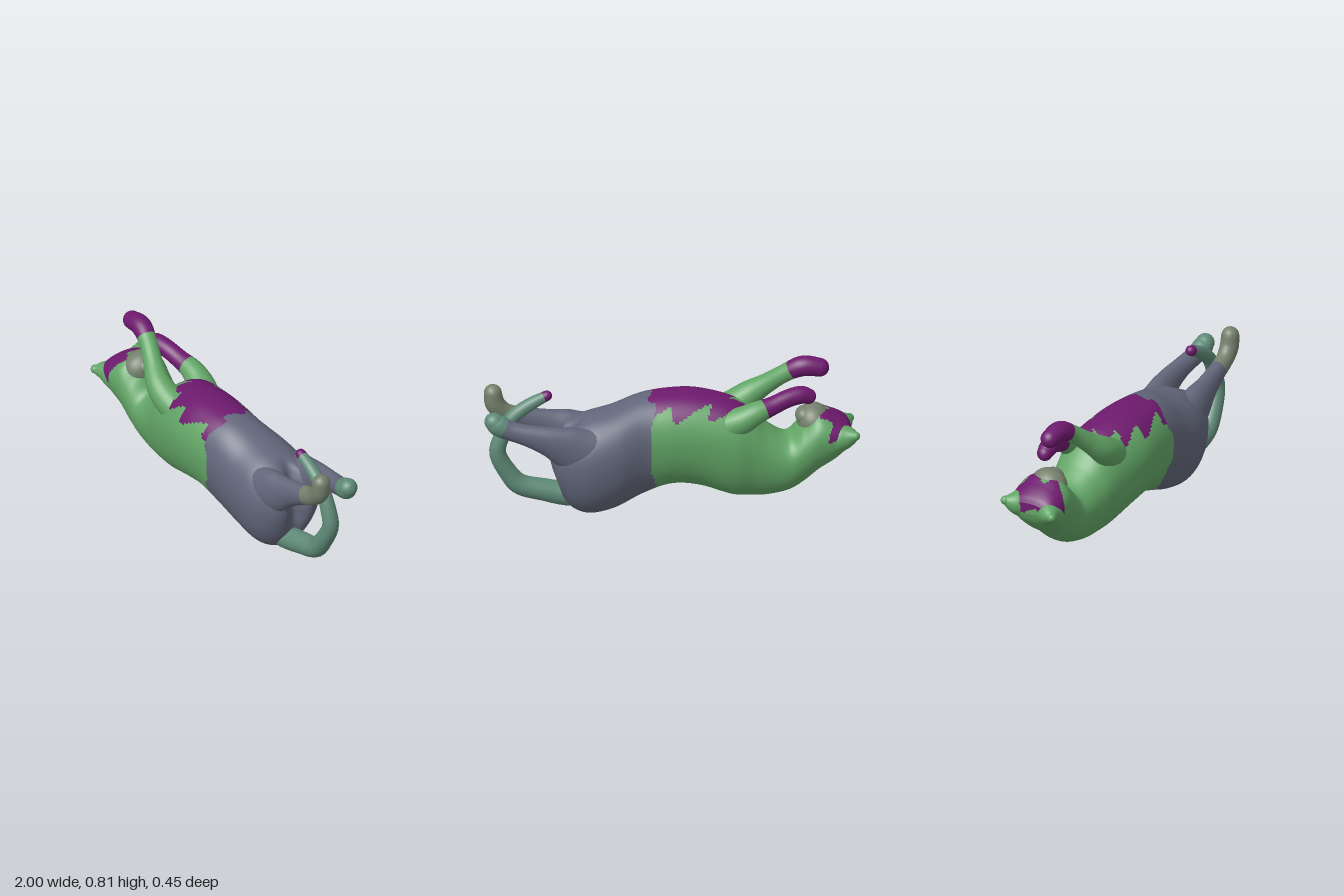
import * as THREE from 'three';

const GREEN = 0x62a566, SLATE = 0x62667a, PURPLE = 0x6e1a6e, OLIVE = 0x74806c, TEAL = 0x5f8a78;

// Skins a list of rings; each cell goes to the named patch chosen by pick(row, point)
function skin(group, rings, colours, pick) {
  const n = rings[0].length, pos = [], index = [], cells = {};
  rings.forEach(r => r.forEach(p => pos.push(p.x, p.y, p.z)));
  for (let i = 0; i < rings.length - 1; i++) {
    for (let j = 0; j < n; j++) {
      const a = i * n + j, b = i * n + (j + 1) % n, c = a + n, d = b + n;
      const quad = [a, b, c, b, d, c];
      index.push(...quad);
      (cells[pick(i, rings[i][j])] ??= []).push(...quad);
    }
  }
  const whole = new THREE.BufferGeometry();
  whole.setAttribute('position', new THREE.Float32BufferAttribute(pos, 3));
  whole.setIndex(index);
  whole.computeVertexNormals();
  for (const name in cells) {
    const geometry = new THREE.BufferGeometry();
    geometry.setAttribute('position', whole.attributes.position);
    geometry.setAttribute('normal', whole.attributes.normal);
    geometry.setIndex(cells[name]);
    const mesh = new THREE.Mesh(geometry, new THREE.MeshStandardMaterial({ color: colours[name] }));
    mesh.name = name;
    group.add(mesh);
  }
}

// Smooth interpolation of any rows of numbers
function sample(rows, t) {
  const f = t * (rows.length - 1), i = Math.min(Math.floor(f), rows.length - 2), u = f - i;
  const at = k => rows[Math.max(0, Math.min(rows.length - 1, k))];
  return rows[0].map((_, c) => {
    const [p, a, b, q] = [at(i - 1)[c], at(i)[c], at(i + 1)[c], at(i + 2)[c]];
    const m = (b - p) / 2, k = (q - a) / 2, d = b - a;
    return a + u * (m + u * (3 * d - 2 * m - k + u * (m + k - 2 * d)));
  });
}

// Round-ended limb through rows of [x, y, z, radius, sideways radius if different]
function limb(name, rows, base, tip, tipStart) {
  const group = new THREE.Group(), rings = [], steps = 40, sides = 24;
  group.name = name;
  const point = t => new THREE.Vector3(...sample(rows, t));
  const side = new THREE.Vector3(0, 0, 1);
  const ring = (t, ahead, scale) => {
    const [, , , r, wide = r] = sample(rows, t);
    const dir = point(Math.min(1, t + 0.01)).sub(point(Math.max(0, t - 0.01))).normalize();
    const v = dir.clone().cross(side).normalize(), w = dir.clone().cross(v);
    const centre = point(t).addScaledVector(dir, ahead * r);
    rings.push(Array.from({ length: sides }, (_, j) => {
      const a = j / sides * Math.PI * 2;
      return centre.clone().addScaledVector(v, Math.cos(a) * r * scale).addScaledVector(w, Math.sin(a) * wide * scale);
    }));
  };
  for (let k = 0; k < 6; k++) { const a = k / 6 * Math.PI / 2; ring(0, -Math.cos(a), Math.sin(a) + 1e-4); }
  for (let k = 0; k <= steps; k++) ring(k / steps, 0, 1);
  for (let k = 1; k <= 6; k++) { const a = k / 6 * Math.PI / 2; ring(1, Math.sin(a), Math.cos(a) + 1e-4); }
  const inner = name + 'Upper', outer = name + 'Tip';
  skin(group, rings, { [inner]: base, [outer]: tip },
    i => (i - 6) / steps > tipStart ? outer : inner);
  return group;
}

// Head, chest, waist and hips in one skin: [x, bottom, top, middle z, half width]
const TORSO = [
  [-0.96, 0.36, 0.42, -0.025, 0.09], [-0.935, 0.305, 0.455, -0.025, 0.135], [-0.87, 0.24, 0.495, -0.027, 0.153],
  [-0.78, 0.18, 0.525, -0.03, 0.156], [-0.70, 0.115, 0.46, -0.03, 0.153], [-0.62, 0.07, 0.39, -0.03, 0.15],
  [-0.51, 0.045, 0.45, -0.022, 0.16], [-0.42, 0.045, 0.54, -0.015, 0.177], [-0.32, 0.055, 0.605, -0.01, 0.195],
  [-0.15, 0.11, 0.645, 0.015, 0.203], [0, 0.125, 0.65, 0.02, 0.2], [0.15, 0.08, 0.635, 0.015, 0.195],
  [0.3, 0.022, 0.59, -0.01, 0.212], [0.43, 0, 0.56, -0.016, 0.216], [0.52, 0.03, 0.53, -0.018, 0.197],
  [0.58, 0.1, 0.5, -0.02, 0.168], [0.62, 0.18, 0.46, -0.022, 0.14], [0.645, 0.26, 0.42, -0.025, 0.1],
];

function torso() {
  const group = new THREE.Group(), rings = [], steps = 220, sides = 96;
  group.name = 'torso';
  const ring = (row, scale) => {
    const [x, bottom, top, z, half] = row;
    const wide = bottom + (top - bottom) * 0.57;
    return Array.from({ length: sides }, (_, j) => {
      const a = j / sides * Math.PI * 2, s = Math.sin(a), c = Math.cos(a);
      const y = wide + s * scale * (s > 0 ? top - wide : wide - bottom);
      const across = z - Math.sign(c) * Math.abs(c) ** 0.92 * half * scale;
      // Cleft between the haunches
      const cleft = Math.exp(-(((across + 0.03) / 0.055) ** 2)) * THREE.MathUtils.smoothstep(x, 0.42, 0.64)
        * THREE.MathUtils.smoothstep(y, 0.08, 0.3);
      return new THREE.Vector3(x - 0.085 * cleft, y, across);
    });
  };
  const capped = row => [0.001, 0.25, 0.5, 0.75].map(s => ring(row, s));
  rings.push(...capped(TORSO[0]));
  for (let i = 0; i <= steps; i++) rings.push(ring(sample(TORSO, i / steps), 1));
  rings.push(...capped(TORSO[TORSO.length - 1]).reverse());
  const colours = { chestAndHead: GREEN, hips: SLATE, bellyPatch: PURPLE, foreheadPatch: PURPLE };
  skin(group, rings, colours, (i, p) => {
    const ripple = Math.sin(p.z * 47 + p.x * 31) * 0.035;
    if (p.x > 0.1 + ripple * 0.6) return 'hips';
    if (p.x > -0.4 + ripple && p.y > 0.57 + ripple) return 'bellyPatch';
    if (p.x < -0.82 + ripple && p.y > 0.38 + ripple * 0.5) return 'foreheadPatch';
    return 'chestAndHead';
  });
  return group;
}

function ball(name, at, size, tilt, color) {
  const mesh = new THREE.Mesh(new THREE.SphereGeometry(1, 24, 16), new THREE.MeshStandardMaterial({ color }));
  mesh.name = name;
  mesh.position.set(...at);
  mesh.scale.set(...size);
  mesh.rotation.z = tilt;
  return mesh;
}

export function createModel() {
  const model = new THREE.Group();
  model.name = 'catOnItsBack';
  model.add(torso());

  // Muzzle pointing up, with a small chin
  model.add(ball('muzzle', [-0.765, 0.45, -0.025], [0.09, 0.1, 0.105], -0.3, OLIVE));
  model.add(ball('chin', [-0.71, 0.485, -0.025], [0.045, 0.05, 0.06], 0, OLIVE));

  // Ears
  model.add(limb('leftEar', [
    [-0.86, 0.36, 0.04, 0.09], [-0.93, 0.375, 0.08, 0.06], [-0.975, 0.38, 0.12, 0.024]], GREEN, PURPLE, 2));
  model.add(limb('rightEar', [
    [-0.86, 0.37, -0.095, 0.09], [-0.93, 0.395, -0.135, 0.06], [-0.968, 0.412, -0.17, 0.024]], GREEN, PURPLE, 2));

  // Raised front legs
  model.add(limb('leftFrontLeg', [
    [-0.24, 0.46, 0.065, 0.09], [-0.35, 0.51, 0.095, 0.082], [-0.44, 0.57, 0.1, 0.07], [-0.53, 0.64, 0.07, 0.053],
    [-0.62, 0.71, 0.035, 0.048], [-0.71, 0.755, 0.012, 0.055], [-0.8, 0.745, 0.005, 0.05]], GREEN, PURPLE, 0.72));
  model.add(limb('rightFrontLeg', [
    [-0.24, 0.46, -0.07, 0.09], [-0.35, 0.51, -0.115, 0.078], [-0.44, 0.56, -0.125, 0.062], [-0.53, 0.59, -0.11, 0.05],
    [-0.62, 0.62, -0.09, 0.048], [-0.69, 0.628, -0.075, 0.048], [-0.728, 0.615, -0.07, 0.042]], GREEN, PURPLE, 0.4));

  // Hind legs stretched out behind, starting as tall narrow haunches
  model.add(limb('leftHindLeg', [
    [0.3, 0.37, 0.07, 0.14, 0.09], [0.46, 0.39, 0.084, 0.135, 0.085], [0.57, 0.435, 0.084, 0.118, 0.07],
    [0.66, 0.475, 0.08, 0.085, 0.054], [0.77, 0.52, 0.074, 0.06, 0.046], [0.87, 0.56, 0.068, 0.05, 0.046],
    [0.925, 0.615, 0.066, 0.053, 0.05], [0.938, 0.68, 0.066, 0.048, 0.048]], SLATE, OLIVE, 0.6));
  model.add(limb('rightHindLeg', [
    [0.3, 0.37, -0.1, 0.14, 0.1], [0.46, 0.39, -0.122, 0.135, 0.09], [0.57, 0.435, -0.138, 0.116, 0.066],
    [0.66, 0.475, -0.142, 0.085, 0.054], [0.77, 0.512, -0.134, 0.061, 0.047], [0.87, 0.542, -0.118, 0.053, 0.048],
    [0.93, 0.57, -0.105, 0.058, 0.054], [0.955, 0.592, -0.1, 0.05, 0.05]], SLATE, TEAL, 0.75));

  // Tail curling up and back
  model.add(limb('tail', [
    [0.36, 0.12, -0.005, 0.09], [0.53, 0.095, -0.002, 0.068], [0.68, 0.127, 0, 0.06], [0.8, 0.165, 0, 0.056],
    [0.865, 0.24, 0, 0.05], [0.922, 0.36, -0.008, 0.045], [0.9, 0.46, -0.01, 0.042], [0.845, 0.565, -0.01, 0.038],
    [0.75, 0.637, -0.01, 0.035], [0.66, 0.682, -0.01, 0.028]], TEAL, PURPLE, 0.95));
  return model;
}
